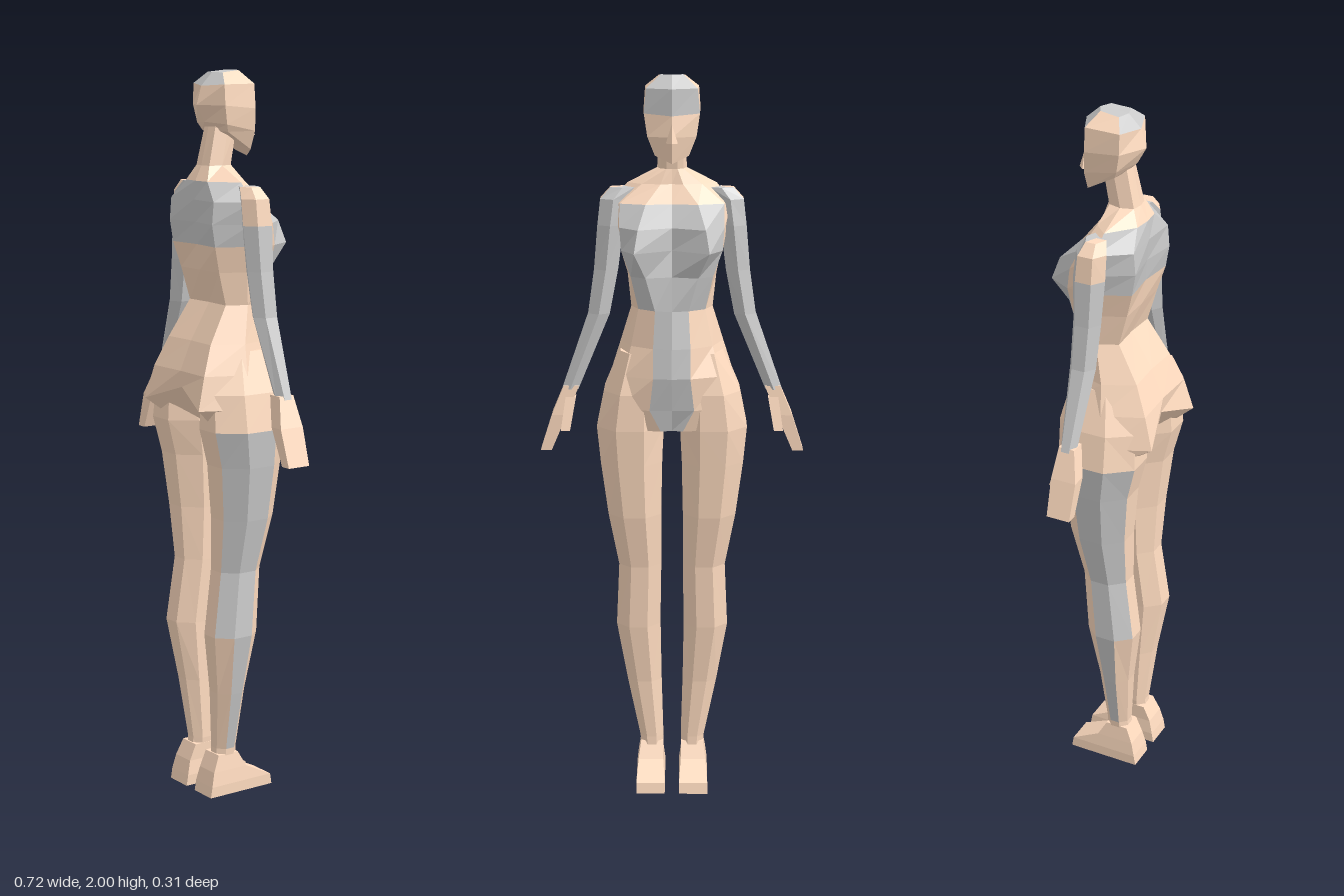
import * as THREE from 'three';

const skin = new THREE.MeshStandardMaterial({ color: 0xffdcc0, flatShading: true });
const grey = new THREE.MeshStandardMaterial({ color: 0xcccccc, flatShading: true });

// Skins rings of [x, y, z] points from bottom to top, with capped ends.
// isGrey(row, face) picks the panels that belong to the grey suit.
function loft(name, rings, isGrey = () => false, side = 1) {
  const group = new THREE.Group();
  group.name = name;
  const lists = { skin: [], grey: [] };
  const n = rings[0].length;
  const tri = (list, a, b, c) => {
    for (const p of side > 0 ? [a, b, c] : [a, c, b]) list.push(side * p[0], p[1], p[2]);
  };
  for (let i = 0; i < rings.length - 1; i++) {
    for (let j = 0; j < n; j++) {
      const k = (j + 1) % n, list = isGrey(i, j) ? lists.grey : lists.skin;
      const [a, b, c, d] = [rings[i][j], rings[i][k], rings[i + 1][k], rings[i + 1][j]];
      tri(list, a, b, c);
      tri(list, a, c, d);
    }
  }
  const last = rings.length - 1;
  for (const [ring, row] of [[rings[0], -1], [rings[last], last]]) {
    const mid = [0, 1, 2].map(c => ring.reduce((s, p) => s + p[c], 0) / n);
    ring.forEach((p, j) => {
      const q = ring[(j + 1) % n], list = isGrey(row, j) ? lists.grey : lists.skin;
      if (row < 0) tri(list, mid, q, p);
      else tri(list, mid, p, q);
    });
  }
  for (const [key, mat] of [['skin', skin], ['grey', grey]]) {
    if (!lists[key].length) continue;
    const geo = new THREE.BufferGeometry();
    geo.setAttribute('position', new THREE.Float32BufferAttribute(lists[key], 3));
    geo.computeVertexNormals();
    const mesh = new THREE.Mesh(geo, mat);
    mesh.name = name + (key === 'skin' ? 'Skin' : 'Suit');
    group.add(mesh);
  }
  return group;
}

// Completes a half ring (back centre to front centre) by mirroring it in x.
const mirrorRing = half =>
  [...half, ...half.slice(1, -1).reverse().map(([x, y, z]) => [-x, y, z])];

// Limb ring with flat sides touching the given extents.
function limbRing([y, xIn, xOut, zFront, zBack], n = 8) {
  const s = 0.5 / Math.cos(Math.PI / n);
  return Array.from({ length: n }, (_, j) => {
    const a = (j + 0.5) * 2 * Math.PI / n;
    return [
      (xIn + xOut) / 2 + (xOut - xIn) * s * Math.cos(a), y,
      (zFront + zBack) / 2 - (zBack - zFront) * s * Math.sin(a),
    ];
  });
}

// Box-like ring for hands and feet.
const boxRing = ([y, xIn, xOut, zFront, zBack]) =>
  [[xOut, y, zBack], [xOut, y, zFront], [xIn, y, zFront], [xIn, y, zBack]];

// y, back centre z, [x, z] of back, side, outer front and inner front, front centre z
const torsoRows = [
  [1.05, 0.03, [0.1, 0.08], [0.17, 0.03], [0.12, -0.09], [0.03, -0.11], -0.1],
  [1.11, 0.12, [0.13, 0.155], [0.18, 0.04], [0.15, -0.1], [0.06, -0.12], -0.12],
  [1.2, 0.125, [0.12, 0.13], [0.165, 0.02], [0.13, -0.1], [0.05, -0.135], -0.14],
  [1.28, 0.09, [0.1, 0.095], [0.14, 0.01], [0.11, -0.08], [0.05, -0.125], -0.135],
  [1.38, 0.03, [0.085, 0.035], [0.11, -0.02], [0.09, -0.075], [0.045, -0.11], -0.12],
  [1.47, 0.06, [0.09, 0.06], [0.12, -0.01], [0.11, -0.09], [0.07, -0.12], -0.1],
  [1.54, 0.07, [0.1, 0.08], [0.135, 0], [0.135, -0.09], [0.1, -0.155], -0.09],
  [1.6, 0.075, [0.1, 0.09], [0.15, 0], [0.14, -0.08], [0.09, -0.135], -0.09],
  [1.66, 0.08, [0.1, 0.085], [0.16, 0], [0.14, -0.05], [0.07, -0.075], -0.065],
  [1.71, 0.075, [0.05, 0.07], [0.12, 0.01], [0.08, -0.03], [0.03, -0.04], -0.035],
  [1.75, 0.055, [0.03, 0.05], [0.04, 0.015], [0.03, -0.02], [0.015, -0.03], -0.03],
  [1.86, 0.03, [0.025, 0.025], [0.035, -0.01], [0.03, -0.04], [0.015, -0.05], -0.05],
];

// Half rings of the head: back, rear side, front side, front
const headRows = [
  [[0, 1.84, 0.02], [0.06, 1.84, 0.01], [0.045, 1.79, -0.075], [0, 1.77, -0.095]],
  [[0, 1.865, 0.045], [0.07, 1.86, 0.02], [0.065, 1.84, -0.075], [0, 1.84, -0.108]],
  [[0, 1.91, 0.07], [0.076, 1.91, 0.03], [0.074, 1.9, -0.07], [0, 1.895, -0.1]],
  [[0, 1.96, 0.055], [0.072, 1.965, 0.03], [0.068, 1.965, -0.07], [0, 1.965, -0.1]],
  [[0, 1.995, 0.02], [0.035, 1.995, 0.01], [0.03, 2, -0.045], [0, 2, -0.06]],
];

// y, inner x, outer x, front z, back z
const legRows = [
  [0.06, 0.03, 0.085, -0.01, 0.06],
  [0.13, 0.025, 0.09, -0.01, 0.055],
  [0.3, 0.03, 0.125, -0.02, 0.07],
  [0.47, 0.033, 0.155, -0.045, 0.095],
  [0.65, 0.03, 0.147, -0.06, 0.07],
  [0.8, 0.03, 0.175, -0.09, 0.075],
  [0.95, 0.027, 0.195, -0.105, 0.09],
  [1.05, 0.022, 0.205, -0.115, 0.115],
  [1.15, 0.03, 0.185, -0.115, 0.11],
  [1.26, 0.05, 0.14, -0.09, 0.07],
];
const footRows = [
  [0, 0.02, 0.1, -0.115, 0.095],
  [0.03, 0.02, 0.1, -0.11, 0.09],
  [0.07, 0.025, 0.095, -0.03, 0.08],
  [0.115, 0.025, 0.088, -0.005, 0.06],
];
const armRows = [
  [1.15, 0.255, 0.3, -0.035, 0.005],
  [1.36, 0.168, 0.227, -0.045, 0.02],
  [1.48, 0.145, 0.21, -0.045, 0.025],
  [1.6, 0.13, 0.2, -0.05, 0.03],
  [1.67, 0.12, 0.192, -0.045, 0.03],
  [1.7, 0.1, 0.165, -0.03, 0.02],
];
const handRows = [
  [0.98, 0.33, 0.36, -0.04, 0.027],
  [1.08, 0.287, 0.328, -0.042, 0.03],
  [1.16, 0.253, 0.295, -0.035, 0.01],
];
const thumbRows = [
  [1.04, 0.278, 0.303, -0.062, -0.038],
  [1.13, 0.262, 0.29, -0.04, -0.01],
];

export function createModel() {
  const model = new THREE.Group();
  model.name = 'figure';

  // Torso and neck; the seat edge rises to a notch at its middle
  const torso = torsoRows.map(([y, back, b, s, o, i, front], row) => mirrorRing([
    [0, row === 1 ? y + 0.045 : y, back],
    ...[b, s, o, i].map(([x, z]) => [x, y, z]),
    [0, y, front],
  ]));
  model.add(loft('torso', torso, (i, j) => {
    const k = Math.min(j, 9 - j);
    return (k < 2 && i >= 6 && i <= 8) || (k === 3 && i >= 4 && i <= 7) || (k === 4 && i <= 7);
  }));

  // Head with grey brow and crown panels
  model.add(loft('head', headRows.map(mirrorRing), (i, j) => {
    const k = Math.min(j, 5 - j);
    return (i === 2 && k === 2) || (i === 3 && k !== 1) || i === 4;
  }));
  const nose = new THREE.Mesh(new THREE.ConeGeometry(0.016, 0.05, 4), skin);
  nose.name = 'nose';
  nose.position.set(0, 1.85, -0.106);
  model.add(nose);

  // Limbs, mirrored left and right
  for (const [label, side] of [['left', 1], ['right', -1]]) {
    model.add(
      loft(label + 'Leg', legRows.map(r => limbRing(r)),
        (i, j) => (j === 7 && i >= 1 && i <= 6) || (j === 6 && i >= 3 && i <= 6), side),
      loft(label + 'Foot', footRows.map(boxRing), undefined, side),
      loft(label + 'Arm', armRows.map(r => limbRing(r, 6)),
        (i, j) => i < 3 || (j !== 5 && j !== 4), side),
      loft(label + 'Hand', handRows.map(boxRing), undefined, side),
      loft(label + 'Thumb', thumbRows.map(boxRing), undefined, side),
    );
  }
  return model;
}
